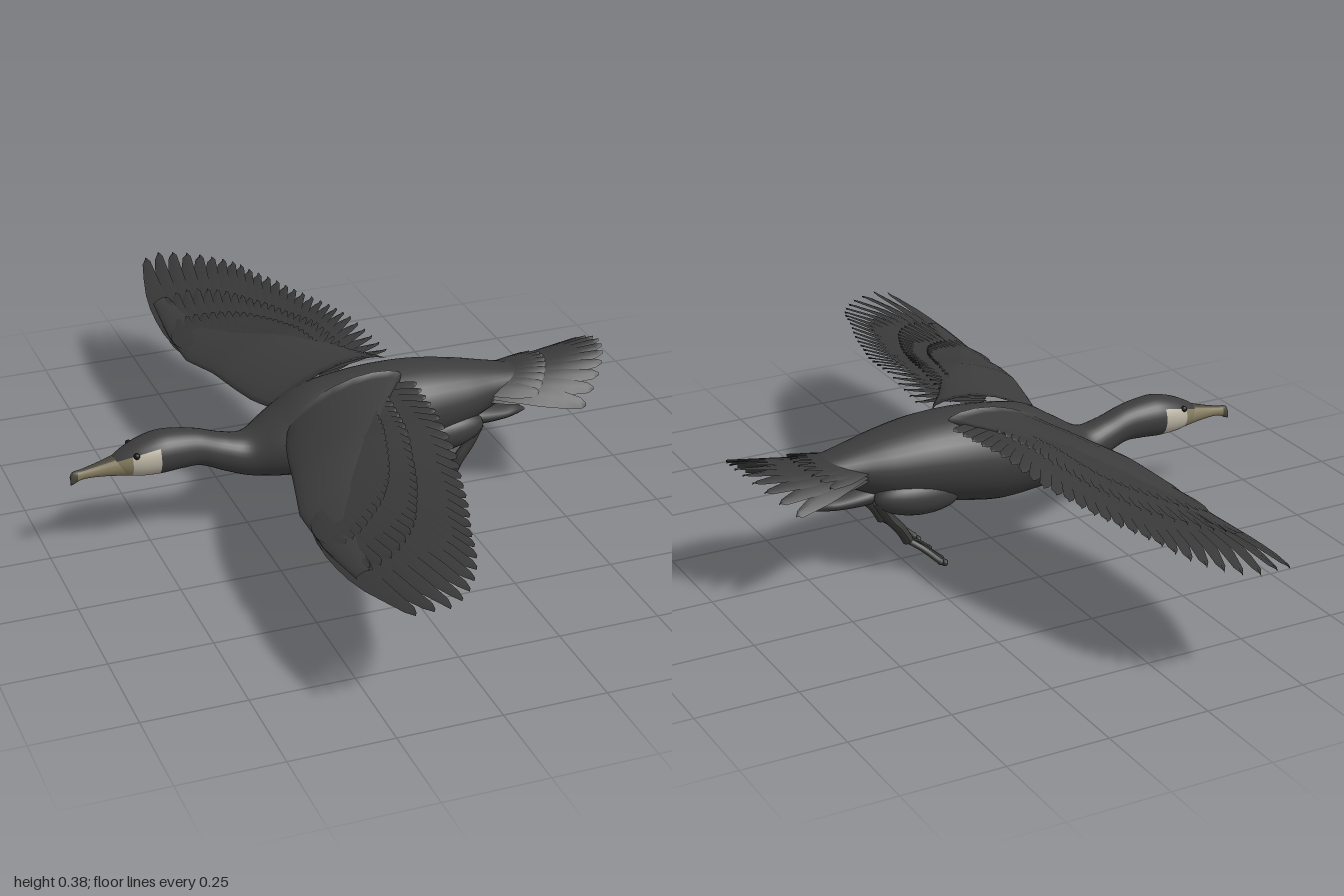
import * as THREE from 'three';
import { mergeGeometries } from 'three/addons/utils/BufferGeometryUtils.js';

const mat = (name, color, side = THREE.FrontSide) => {
  const m = new THREE.MeshStandardMaterial({ color, side });
  m.name = name;
  return m;
};
const V = (x, y, z) => new THREE.Vector3(x, y, z);
const clamp = THREE.MathUtils.clamp;

// Piecewise linear lookup in [[key, value], ...]
function table(rows, k) {
  if (k <= rows[0][0]) return rows[0][1];
  for (let i = 1; i < rows.length; i++) {
    const [a, va] = rows[i - 1], [b, vb] = rows[i];
    if (k <= b) return va + (vb - va) * (k - a) / (b - a);
  }
  return rows[rows.length - 1][1];
}

function buildGeometry(points, index) {
  const g = new THREE.BufferGeometry();
  g.setAttribute('position', new THREE.Float32BufferAttribute(points.flatMap(p => [p.x, p.y, p.z]), 3));
  g.setIndex(index);
  g.computeVertexNormals();
  return g;
}

// Skin over closed rings, capped at both ends; pick(i, j) gives the material slot
function loft(rings, pick = () => 0) {
  const n = rings[0].length, m = rings.length, pts = rings.flat(), slots = [[], [], []];
  for (let i = 0; i < m - 1; i++) for (let j = 0; j < n; j++) {
    const a = i * n + j, b = i * n + (j + 1) % n, c = a + n, d = b + n;
    slots[pick(i, j)].push(a, c, b, b, c, d);
  }
  for (const [i, flip] of [[0, false], [m - 1, true]]) {
    const centre = rings[i].reduce((s, p) => s.add(p), V(0, 0, 0)).divideScalar(n);
    pts.push(centre);
    for (let j = 0; j < n; j++) {
      const a = i * n + j, b = i * n + (j + 1) % n, c = pts.length - 1;
      slots[pick(Math.min(i, m - 2), j)].push(...(flip ? [a, b, c] : [b, a, c]));
    }
  }
  const g = buildGeometry(pts, slots.flat());
  let start = 0;
  slots.forEach((s, k) => { if (s.length) g.addGroup(start, s.length, k); start += s.length; });
  return g;
}

// Elliptical rings along x from rows of [x, centre y, half height, half width]
function xRings(rows, steps, sides) {
  const c1 = new THREE.CatmullRomCurve3(rows.map(r => V(r[0], r[1], r[2])));
  const c2 = new THREE.CatmullRomCurve3(rows.map(r => V(r[0], r[3], 0)));
  c1.curveType = c2.curveType = 'catmullrom';
  return Array.from({ length: steps + 1 }, (_, i) => {
    const p = c1.getPoint(i / steps), w = c2.getPoint(i / steps).y;
    return Array.from({ length: sides }, (_, j) => {
      const a = j / sides * Math.PI * 2;
      return V(p.x, p.y + p.z * Math.sin(a), w * Math.cos(a));
    });
  });
}

// Mirror to the other side of the body, keeping faces outward
function mirrorZ(g) {
  const m = g.clone().scale(1, 1, -1), ix = m.index.array;
  for (let i = 0; i < ix.length; i += 3) [ix[i], ix[i + 1]] = [ix[i + 1], ix[i]];
  m.computeVertexNormals();
  return m;
}

// Ridged feather blade lying on the surface y = surf(x, z)
const BLADE = [0.6, 0.9, 1, 1, 0.98, 0.88, 0.68, 0.42, 0.05];
function feather(root, tip, width, surf, lift, bow = 0) {
  const d = tip.clone().sub(root).setY(0).normalize(), w = V(d.z, 0, -d.x), pts = [], idx = [];
  BLADE.forEach((f, i) => {
    const s = i < 7 ? i / 7.5 : i === 7 ? 0.95 : 1;
    for (let k = -1; k <= 1; k++) {
      const p = root.clone().lerp(tip, s).addScaledVector(w, k * f * width / 2);
      p.x -= bow * Math.sin(Math.PI * s);
      p.y = surf(p.x, p.z) + lift + (k ? 0 : 0.003) + k * 0.003;
      pts.push(p);
    }
    if (i) for (let k = 0; k < 2; k++) {
      const a = (i - 1) * 3 + k, b = a + 3;
      idx.push(a, b, a + 1, a + 1, b, b + 1);
    }
  });
  return buildGeometry(pts, idx);
}

// Wing planform and height
const LEAD = [[0, -0.15], [0.08, -0.17], [0.12, -0.19], [0.2, -0.212], [0.43, -0.265], [0.6, -0.263], [0.8, -0.25], [1, -0.2]];
const TRAIL = [[0, 0.16], [0.4, 0.12], [0.6, 0.07], [0.8, 0], [0.92, -0.05], [1, -0.14]];
const LOW = [[0.1, 0.25], [0.3, 0.265], [0.45, 0.252], [0.6, 0.25], [0.8, 0.268], [1, 0.298]];
const PITCH = [[0.1, 0.27], [0.6, 0.25], [0.8, 0.2], [1, 0.02]];
const CHORD = [[0.04, 0.3], [0.2, 0.25], [0.43, 0.16], [0.6, 0.08], [0.8, 0.03]];
function wingY(x, z) {
  const l = table(LEAD, z), u = clamp((x - l) / (table(TRAIL, z) - l), 0, 1);
  return table(LOW, z) + table(PITCH, z) * (x + 0.26) + 0.025 * Math.sin(Math.PI * u) * (1 - 0.8 * z);
}

function wingArm() {
  const rings = [];
  for (let i = 0; i <= 24; i++) {
    const z = 0.04 + i / 24 * 0.72, c = table(CHORD, z), th = 0.032 * (1 - z) + 0.003;
    rings.push(Array.from({ length: 18 }, (_, j) => {
      const a = j / 18 * Math.PI * 2, x = table(LEAD, z) + c * (1 - Math.cos(a)) / 2;
      return V(x, wingY(x, z) + th * Math.sin(a) * (Math.sin(a) > 0 ? 0.8 : 0.6), z);
    }));
  }
  return loft(rings);
}

function wingFeathers() {
  const curve = pts => new THREE.CatmullRomCurve3(pts.map(([x, z]) => V(x, 0, z)));
  const tips = curve([[0.155, 0.1], [0.145, 0.2], [0.13, 0.33], [0.115, 0.44], [0.085, 0.55], [0.055, 0.66],
    [0.02, 0.76], [-0.01, 0.86], [-0.05, 0.93], [-0.1, 0.98], [-0.15, 1], [-0.205, 0.99]]);
  const roots = curve([[-0.03, 0.09], [-0.06, 0.24], [-0.11, 0.37], [-0.19, 0.43], [-0.237, 0.47]]);
  const out = [], n = 27;
  for (let i = 0; i < n; i++) {
    const t = i / (n - 1), r = roots.getPointAt(t), p = tips.getPointAt(t);
    const bow = 0.02 * t * t;
    out.push(feather(r, p, 0.052, wingY, 0, bow));
    // Coverts above and below
    for (const [reach, lift] of [[0.55, 0.006], [0.3, 0.011], [0.5, -0.007]])
      out.push(feather(r, r.clone().lerp(p, reach), 0.045, wingY, lift, bow * 0.6));
  }
  return mergeGeometries(out);
}

function tailFeathers() {
  const surf = (x, z) => 0.298 + 0.16 * (x - 0.4) - 3.6 * z * z, out = [], n = 13;
  for (let i = 0; i < n; i++) {
    const k = i / (n - 1) * 2 - 1, r = V(0.35, 0, 0.05 * k), p = V(0.69 - 0.1 * k * k, 0, 0.148 * k);
    out.push(feather(r, p, 0.042, surf, 0));
    out.push(feather(r, r.clone().lerp(p, 0.55), 0.036, surf, 0.008));
    out.push(feather(r, r.clone().lerp(p, 0.5), 0.036, surf, -0.01));
  }
  return mergeGeometries(out);
}

// Leg, splayed toes and web
function legParts() {
  const tube = (pts, r) => new THREE.TubeGeometry(new THREE.CatmullRomCurve3(pts), 10, r, 8);
  const heel = V(0.265, 0.085, 0.072);
  const toes = [V(0.195, 0.035, 0.04), V(0.173, 0.012, 0.062), V(0.175, 0.012, 0.088), V(0.2, 0.032, 0.115)];
  const solid = mergeGeometries([
    tube([V(0.34, 0.2, 0.06), V(0.31, 0.15, 0.066), V(0.285, 0.12, 0.07), heel], 0.014),
    ...toes.map(t => tube([heel, heel.clone().lerp(t, 0.5).add(V(0.005, 0.008, 0)), t], 0.008)),
    ...toes.map(t => new THREE.SphereGeometry(0.009, 8, 6).translate(t.x, t.y, t.z)),
  ]);
  const web = buildGeometry([heel, ...toes], [0, 1, 2, 0, 2, 3, 0, 3, 4]);
  return { solid, web };
}

export function createModel() {
  const plumage = mat('plumage black', 0x3c3c3c), quill = mat('feather black', 0x393939, THREE.DoubleSide);
  const cream = mat('cheek cream', 0xb9b2a2), tan = mat('bill tan', 0x857c60);
  const dark = mat('bill dark', 0x4a473c), skin = mat('foot grey', 0x373635, THREE.DoubleSide);
  const eyeMat = mat('eye black', 0x141414);
  const model = new THREE.Group();
  const add = (name, g, m, parent = model) => {
    const mesh = new THREE.Mesh(g, m);
    mesh.name = name;
    parent.add(mesh);
    return mesh;
  };

  // Head, neck and trunk, with a pale chin and cheek
  const body = xRings([[-0.585, 0.232, 0.018, 0.02], [-0.56, 0.233, 0.033, 0.034], [-0.52, 0.238, 0.046, 0.048],
    [-0.47, 0.243, 0.053, 0.053], [-0.42, 0.243, 0.05, 0.049], [-0.37, 0.237, 0.046, 0.044], [-0.31, 0.214, 0.049, 0.047],
    [-0.25, 0.199, 0.056, 0.06], [-0.18, 0.215, 0.08, 0.095], [-0.1, 0.235, 0.107, 0.114], [0, 0.242, 0.12, 0.122],
    [0.1, 0.254, 0.116, 0.122], [0.2, 0.264, 0.103, 0.114], [0.3, 0.269, 0.083, 0.096], [0.38, 0.278, 0.056, 0.073],
    [0.45, 0.284, 0.034, 0.055], [0.52, 0.295, 0.01, 0.035]], 112, 32);
  add('body', loft(body, (i, j) => {
    const x = body[i][0].x, s = Math.sin((j + 0.5) / 32 * Math.PI * 2);
    if (x < -0.545) return s < 0.5 ? 2 : 0;
    return x < -0.478 && s < 0.62 - (x + 0.545) * 2 ? 1 : 0;
  }), [plumage, cream, tan]);

  // Hooked bill with a dark ridge and tip
  const bill = xRings([[-0.692, 0.202, 0.011, 0.005], [-0.684, 0.21, 0.016, 0.009], [-0.66, 0.217, 0.013, 0.012],
    [-0.62, 0.222, 0.018, 0.018], [-0.58, 0.226, 0.026, 0.027], [-0.54, 0.229, 0.034, 0.036]], 30, 20);
  add('bill', loft(bill, (i, j) =>
    bill[i][0].x < -0.675 || Math.sin((j + 0.5) / 20 * Math.PI * 2) > 0.75 ? 1 : 0), [tan, dark]);

  add('tail', tailFeathers(), quill);
  add('undertail', loft(xRings([[0.27, 0.21, 0.03, 0.04], [0.35, 0.2, 0.026, 0.045], [0.42, 0.193, 0.018, 0.035],
    [0.46, 0.192, 0.014, 0.022], [0.49, 0.187, 0.003, 0.005]], 20, 16)), plumage);

  // Paired parts
  const arm = wingArm(), feathers = wingFeathers(), leg = legParts();
  const thigh = new THREE.SphereGeometry(1, 24, 16).scale(0.115, 0.048, 0.046).rotateZ(0.1).translate(0.235, 0.196, 0.064);
  const eye = new THREE.SphereGeometry(0.008, 12, 8).translate(-0.535, 0.259, 0.037);
  for (const side of ['left', 'right']) {
    const half = new THREE.Group();
    half.name = side === 'left' ? 'frontSideParts' : 'backSideParts';
    const fit = g => (side === 'left' ? g : mirrorZ(g));
    add('wingArm', fit(arm), plumage, half);
    add('wingFeathers', fit(feathers), quill, half);
    add('thigh', fit(thigh), plumage, half);
    add('leg', fit(leg.solid), skin, half);
    add('footWeb', fit(leg.web), skin, half);
    add('eye', fit(eye), eyeMat, half);
    model.add(half);
  }
  return model;
}
